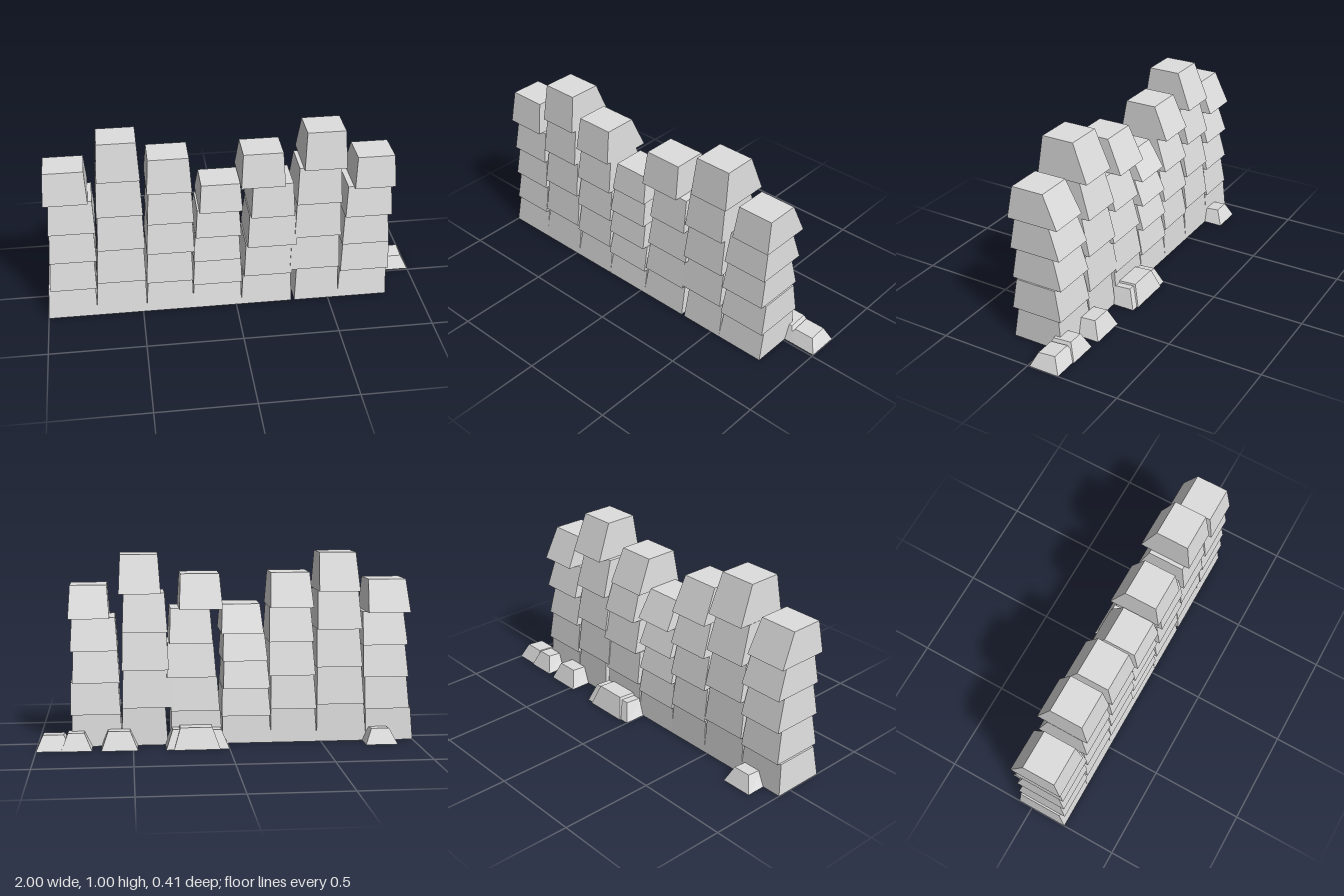
import * as THREE from 'three';

const stone = new THREE.MeshStandardMaterial({ color: 0xdedede });
stone.name = 'pale grey stone';
stone.flatShading = true;

// Tapered block: b and t are the bottom and top outlines {x0, x1, z0, z1};
// yBack and yFront are the heights of the top at its back and front edges.
function block(name, b, t, y, yBack, yFront = yBack) {
  const geo = new THREE.BoxGeometry(1, 1, 1);
  const p = geo.attributes.position;
  for (let i = 0; i < p.count; i++) {
    const r = p.getY(i) > 0 ? t : b;
    const back = p.getZ(i) < 0;
    const h = p.getY(i) > 0 ? (back ? yBack : yFront) : y;
    p.setXYZ(i, p.getX(i) < 0 ? r.x0 : r.x1, h, back ? r.z0 : r.z1);
  }
  geo.computeVertexNormals();
  const mesh = new THREE.Mesh(geo, stone);
  mesh.name = name;
  return mesh;
}

// Each column: total height, then left and right edges of its blocks, bottom up
const columns = [
  [0.86, [-1, -0.742], [-0.978, -0.737], [-0.97, -0.727], [-0.962, -0.722], [-0.975, -0.75]],
  [1.005, [-0.745, -0.478], [-0.732, -0.478], [-0.72, -0.475], [-0.715, -0.478], [-0.702, -0.484]],
  [0.9, [-0.48, -0.23], [-0.475, -0.23], [-0.468, -0.22], [-0.458, -0.22], [-0.455, -0.226]],
  [0.735, [-0.235, 0.028], [-0.23, 0.03], [-0.225, 0.022], [-0.212, 0.025], [-0.19, 0.032]],
  [0.897, [0.027, 0.298], [0.042, 0.3], [0.06, 0.32], [0.077, 0.305], [0.025, 0.252]],
  [1.0, [0.316, 0.555], [0.287, 0.553], [0.308, 0.555], [0.315, 0.55], [0.348, 0.567]],
  [0.842, [0.553, 0.82], [0.562, 0.825], [0.565, 0.813], [0.574, 0.82], [0.615, 0.829]],
];
// The back and right side slope in more on the higher courses
const backInset = [0.015, 0.03, 0.045, 0.06, 0.08];

// Fallen stones: left, right, back, front, height
const stones = [
  [-0.895, -0.725, -0.182, -0.01, 0.08],
  [0.0, 0.19, -0.195, -0.01, 0.095],
  [0.048, 0.29, -0.203, -0.01, 0.11],
  [0.15, 0.33, -0.195, -0.01, 0.1],
  [0.475, 0.665, -0.19, -0.01, 0.095],
  [0.712, 0.872, -0.182, -0.01, 0.088],
  [0.818, 1.0, -0.175, -0.01, 0.08],
];

export function createModel() {
  const model = new THREE.Group();
  model.name = 'ruinedWall';

  // Wall columns of five stacked blocks
  columns.forEach(([height, ...rows], c) => {
    const column = new THREE.Group();
    column.name = `wallColumn${c + 1}`;
    const h = height / rows.length;
    rows.forEach(([x0, x1], r) => {
      column.add(block(`wallBlock${r + 1}`,
        { x0, x1, z0: -0.078, z1: 0.203 },
        { x0: x0 + 0.012, x1: x1 - 0.002 * (r + 1), z0: -0.078 + backInset[r], z1: 0.175 },
        r * h, (r + 1) * h));
    });
    model.add(column);
  });

  // Rubble at the foot of the back and the left end
  const rubble = new THREE.Group();
  rubble.name = 'rubble';
  stones.forEach(([x0, x1, z0, z1, h], i) => {
    rubble.add(block(`fallenStone${i + 1}`, { x0, x1, z0, z1 },
      { x0: x0 + 0.04, x1: x1 - 0.035, z0: z0 + 0.038, z1: z1 - 0.032 }, 0, h, h - 0.009));
  });
  model.add(rubble);
  return model;
}
